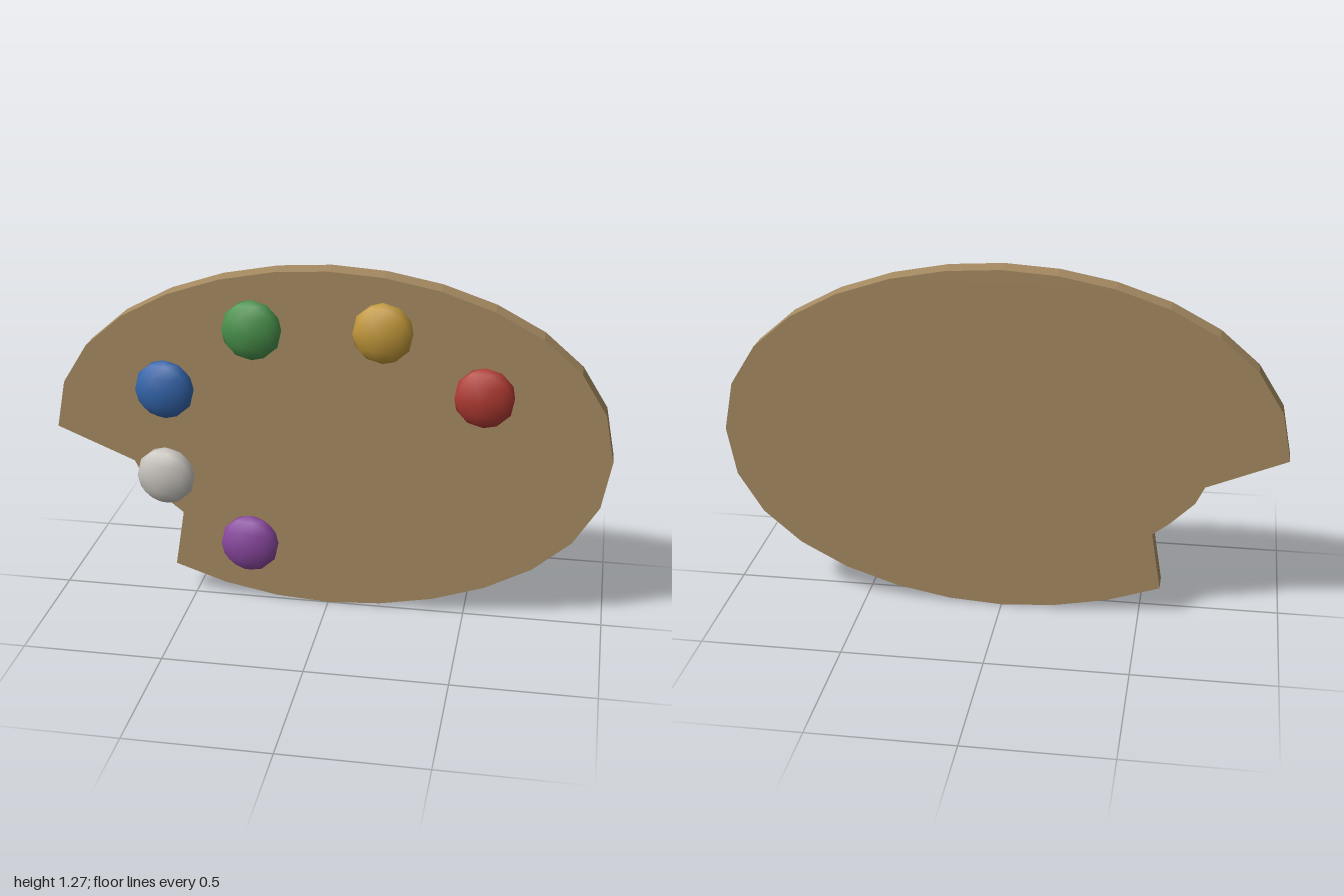
import * as THREE from 'three';

const material = (color) => new THREE.MeshStandardMaterial({ color });

// Oval board outline with a notch cut for the thumb
function boardShape() {
  const cy = 0.637, kx = 0.43, ky = 0.44, steps = 7;
  const quarter = new THREE.CubicBezierCurve(
    new THREE.Vector2(1, 0), new THREE.Vector2(1, ky),
    new THREE.Vector2(kx, cy), new THREE.Vector2(0, cy),
  ).getPoints(steps);
  const at = (p, sx, sy) => new THREE.Vector2(p.x * sx, cy + p.y * sy);
  const outline = [];
  // Counter-clockwise: upper left tip round the bottom, starting after the notch
  for (let i = 4; i < steps; i++) outline.push(at(quarter[i], -1, -1));
  for (let i = steps; i > 0; i--) outline.push(at(quarter[i], 1, -1));
  for (let i = 0; i < steps; i++) outline.push(at(quarter[i], 1, 1));
  for (let i = steps; i >= 0; i--) outline.push(at(quarter[i], -1, 1));
  // Thumb notch
  for (const [x, y] of [[-0.717, 0.52], [-0.685, 0.455], [-0.6, 0.372], [-0.54, 0.325]]) {
    outline.push(new THREE.Vector2(x, y));
  }
  return new THREE.Shape(outline);
}

export function createModel() {
  const model = new THREE.Group();
  model.name = 'paintPalette';

  // Flat wooden board
  const thickness = 0.083;
  const boardGeometry = new THREE.ExtrudeGeometry(boardShape(), { depth: thickness, bevelEnabled: false });
  boardGeometry.translate(0, 0, -thickness);
  const board = new THREE.Mesh(boardGeometry, material(0xa68b62));
  board.name = 'board';
  model.add(board);

  // Flattened blobs of paint, each a low-poly ball with a vertex on top
  const blobGeometry = new THREE.IcosahedronGeometry(1, 1);
  blobGeometry.rotateZ(-Math.atan(2 / (1 + Math.sqrt(5))));
  const paints = [
    ['redPaint', 0.55, 0.86, 0xb03a32],
    ['yellowPaint', 0.195, 1.073, 0xc2983a],
    ['greenPaint', -0.265, 1.058, 0x4a924c],
    ['bluePaint', -0.585, 0.818, 0x3465ab],
    ['whitePaint', -0.592, 0.483, 0xc8c4be],
    ['purplePaint', -0.285, 0.235, 0x8a48a0],
  ];
  for (const [name, x, y, color] of paints) {
    const blob = new THREE.Mesh(blobGeometry, material(color));
    blob.name = name;
    blob.position.set(x, y, 0.03);
    blob.scale.set(0.108, 0.11, 0.055);
    model.add(blob);
  }
  return model;
}
